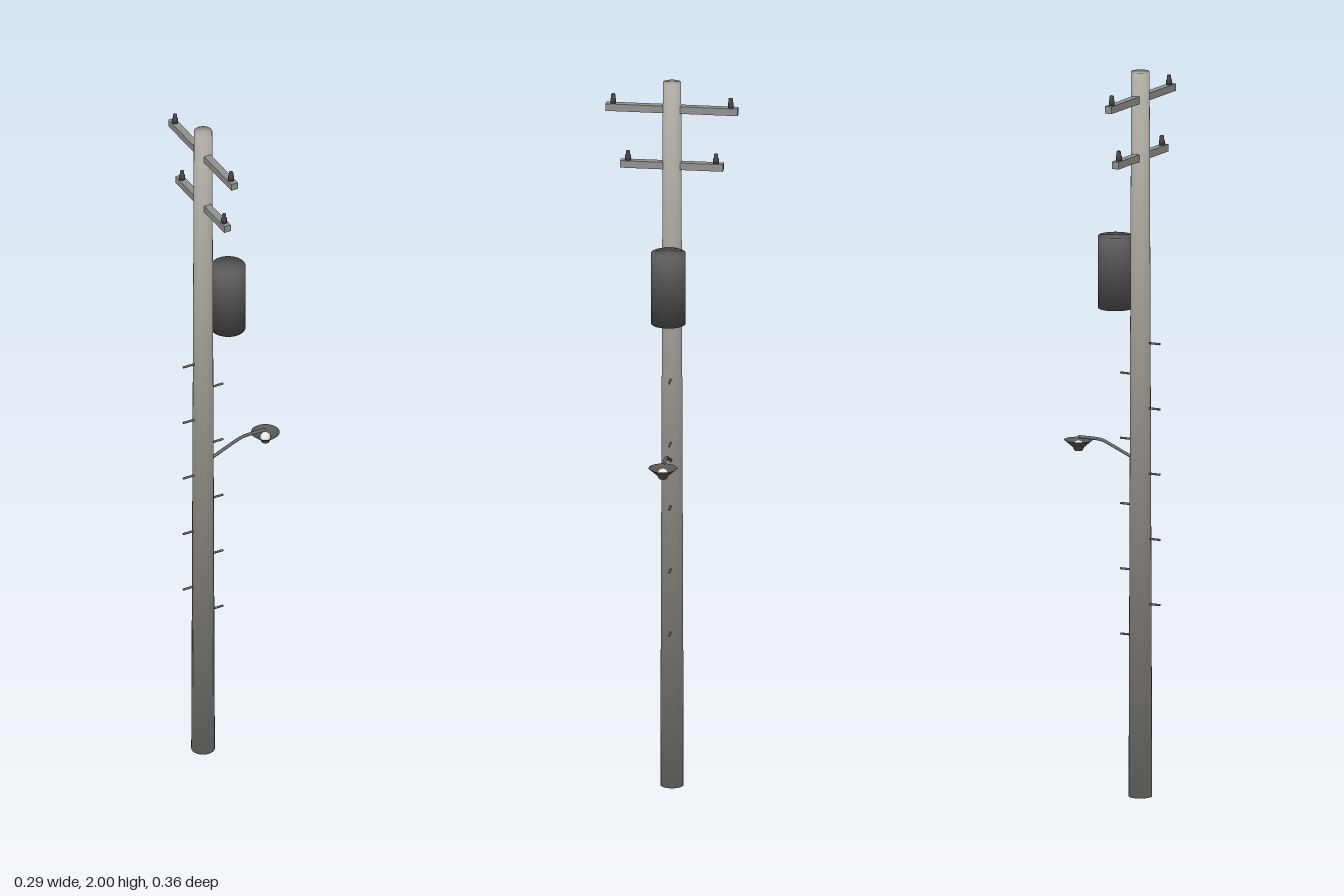
import * as THREE from 'three';

const POLE_X = -0.086;

// Cylinder whose shading rolls softly over the rims
function softCylinder(topRadius, bottomRadius, height, sides) {
  const geometry = new THREE.CylinderGeometry(topRadius, bottomRadius, height, sides);
  const { position, normal } = geometry.attributes;
  const n = new THREE.Vector3();
  for (let i = 0; i < position.count; i++) {
    n.set(position.getX(i), 0, position.getZ(i)).normalize();
    n.y = Math.sign(position.getY(i));
    n.normalize();
    normal.setXYZ(i, n.x, n.y, n.z);
  }
  return geometry;
}

const points2 = (list) => list.map(([r, y]) => new THREE.Vector2(r, y));

export function createModel() {
  const model = new THREE.Group();
  model.name = 'utilityPole';
  const paint = (color, side = THREE.FrontSide) => new THREE.MeshStandardMaterial({ color, side });
  const poleWood = paint(0xaaa69f);
  const beamWood = paint(0x929290);
  const darkMetal = paint(0x5a5a5a);
  const bracketMetal = paint(0x686868);
  const ceramic = paint(0x484848);
  const shadeMetal = paint(0x585858, THREE.DoubleSide);
  const glass = paint(0xf0e8e0);

  const add = (name, geometry, material, x, y, z, parent = model) => {
    const mesh = new THREE.Mesh(geometry, material);
    mesh.name = name;
    mesh.position.set(x, y, z);
    parent.add(mesh);
  };

  // Tapered pole
  add('pole', softCylinder(0.025, 0.032, 2, 24), poleWood, POLE_X, 1, 0);

  // Crossarms, each with an insulator at both ends
  const insulatorGeometry = new THREE.LatheGeometry(points2(
    [[0, 0], [0.008, 0], [0.008, 0.012], [0.006, 0.016], [0.006, 0.025], [0.004, 0.027], [0, 0.027]]), 14);
  for (const [y, half] of [[1.925, 0.18], [1.765, 0.14]]) {
    const arm = new THREE.Group();
    arm.name = 'crossarm';
    arm.position.set(POLE_X, y, 0);
    model.add(arm);
    add('crossbeam', new THREE.BoxGeometry(0.02, 0.02, half * 2), beamWood, 0, 0, 0, arm);
    for (const side of [1, -1]) add('insulator', insulatorGeometry, ceramic, 0, 0.01, side * (half - 0.02), arm);
  }

  // Transformer can
  add('transformer', softCylinder(0.047, 0.047, 0.2, 32), darkMetal, -0.009, 1.44, 0);

  // Climbing pegs, alternating from side to side
  const pegGeometry = new THREE.CylinderGeometry(0.003, 0.003, 0.06, 8).rotateZ(Math.PI / 2);
  for (let i = 0; i < 10; i++) {
    const side = i % 2 ? -1 : 1;
    add('climbingPeg', pegGeometry, bracketMetal, POLE_X + side * 0.031, 0.443 + i * 0.09, 0);
  }

  // Bent bracket: a straight rise, a short bend and a level end
  const path = new THREE.CatmullRomCurve3([
    [-0.065, 0.931], [-0.03, 0.946], [0.005, 0.961], [0.032, 0.971], [0.05, 0.973], [0.105, 0.973],
  ].map(([x, y]) => new THREE.Vector3(x, y, 0)));
  add('lampBracket', new THREE.TubeGeometry(path, 24, 0.0045, 8), bracketMetal, 0, 0, 0);

  // Dish-shaped lamp shade, open at the top, around a bulb
  const shade = new THREE.LatheGeometry(points2(
    [[0.011, 0.935], [0.015, 0.944], [0.022, 0.95], [0.039, 0.965]]), 28);
  add('lampShade', shade, shadeMetal, 0.105, 0, 0);
  add('bulb', new THREE.SphereGeometry(0.015, 16, 12), glass, 0.105, 0.949, 0);

  return model;
}
